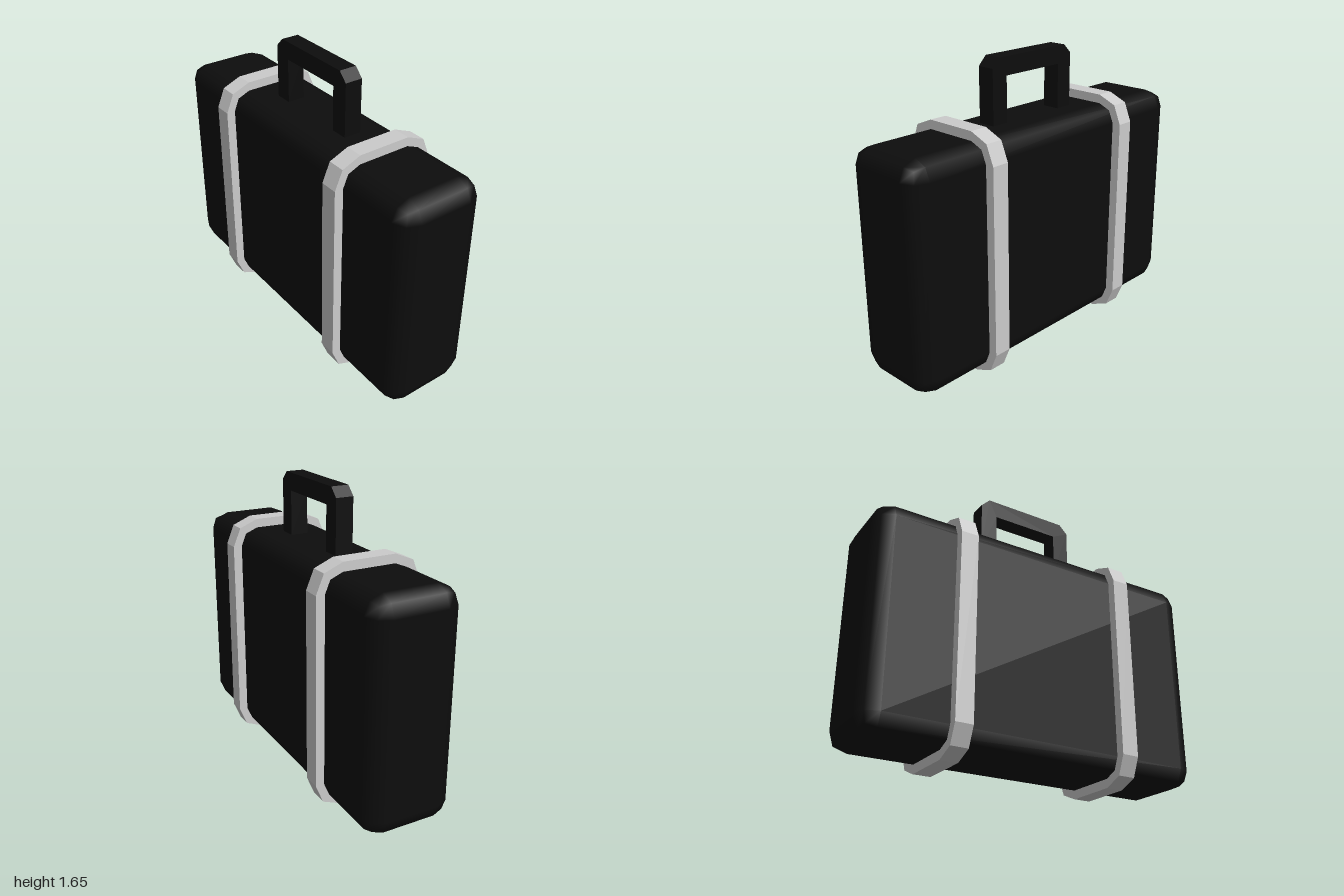
import * as THREE from 'three';
import { RoundedBoxGeometry } from 'three/addons/geometries/RoundedBoxGeometry.js';

const MID_Y = 0.675; // centre height of the case body

// Rectangle outline with two-segment rounded corners, centred on (0, MID_Y)
function roundedOutline(halfW, halfH, r) {
  const points = [];
  const corners = [[1, 1], [-1, 1], [-1, -1], [1, -1]];
  corners.forEach(([sx, sy], i) => {
    for (let k = 0; k <= 2; k++) {
      const a = (i + k / 2) * Math.PI / 2;
      points.push(new THREE.Vector2(
        sx * (halfW - r) + r * Math.cos(a),
        MID_Y + sy * (halfH - r) + r * Math.sin(a)
      ));
    }
  });
  return points;
}

// Extrude a shape along z, centred on z = 0
function centredExtrude(shape, depth) {
  return new THREE.ExtrudeGeometry(shape, { depth, bevelEnabled: false }).translate(0, 0, -depth / 2);
}

export function createModel() {
  const model = new THREE.Group();
  model.name = 'suitcase';

  const black = { color: 0x0d0d0d };
  const smoothBlack = new THREE.MeshStandardMaterial(black);
  const flatBlack = new THREE.MeshStandardMaterial({ ...black, flatShading: true });
  const grey = new THREE.MeshStandardMaterial({ color: 0xcccccc, flatShading: true });

  function add(name, geometry, material, z = 0) {
    const mesh = new THREE.Mesh(geometry, material);
    mesh.name = name;
    mesh.position.z = z;
    model.add(mesh);
  }

  // Case body with softly rounded edges
  add('caseBody', new RoundedBoxGeometry(0.5, 1.25, 2, 1, 0.1).translate(0, MID_Y, 0), smoothBlack);

  // Two straps wrapped around the body
  const band = new THREE.Shape(roundedOutline(0.3, 0.675, 0.15));
  band.holes.push(new THREE.Path(roundedOutline(0.25, 0.625, 0.1)));
  const strap = centredExtrude(band, 0.1);
  add('frontStrap', strap, grey, 0.5);
  add('backStrap', strap, grey, -0.5);

  // Carrying handle: a square arch with chamfered outer corners
  const half = [[0.2, 1.55], [0.2, 1.3], [0.3, 1.3], [0.3, 1.6], [0.25, 1.65]];
  const mirrored = half.map(([x, y]) => [-x, y]).reverse();
  const arch = new THREE.Shape([...half, ...mirrored].map(([x, y]) => new THREE.Vector2(x, y)));
  add('handle', centredExtrude(arch, 0.1).rotateY(Math.PI / 2), flatBlack);

  return model;
}
